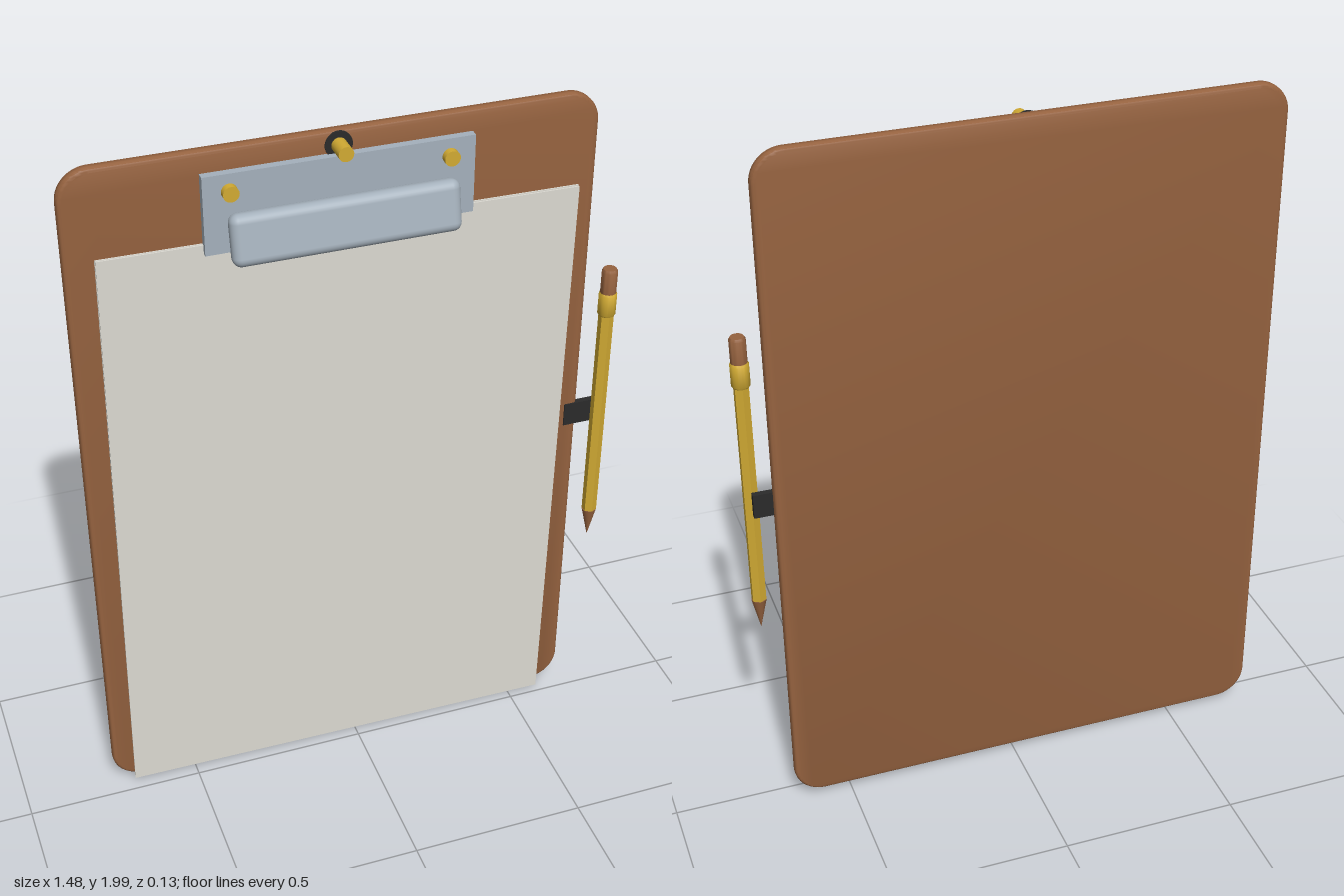
import * as THREE from 'three';
import { toCreasedNormals } from 'three/addons/utils/BufferGeometryUtils.js';
import { RoundedBoxGeometry } from 'three/addons/geometries/RoundedBoxGeometry.js';

const material = (name, color) => {
  const m = new THREE.MeshStandardMaterial({ color });
  m.name = name;
  return m;
};

// Rounded rectangle outline centred on the origin
function roundedRect(w, h, r) {
  const x = w / 2, y = h / 2, s = new THREE.Shape();
  s.absarc(x - r, y - r, r, 0, Math.PI / 2);
  s.absarc(r - x, y - r, r, Math.PI / 2, Math.PI);
  s.absarc(r - x, r - y, r, Math.PI, Math.PI * 1.5);
  s.absarc(x - r, r - y, r, Math.PI * 1.5, Math.PI * 2);
  s.closePath();
  return s;
}

export function createModel() {
  const wood = material('brown wood', 0x95623f);
  const paper = material('paper', 0xdcdad2);
  const steel = material('steel', 0xa5b1bc);
  const brass = material('brass yellow', 0xd2ab33);
  const black = material('black', 0x2b2b2b);

  const group = new THREE.Group();
  group.name = 'clipboard';
  const add = (name, geometry, mat, x, y, z, parent = group) => {
    const mesh = new THREE.Mesh(geometry, mat);
    mesh.name = name;
    mesh.position.set(x, y, z);
    parent.add(mesh);
    return mesh;
  };
  const cx = -0.04;

  // Board with softened edges
  const bevel = 0.011;
  const boardGeometry = new THREE.ExtrudeGeometry(roundedRect(1.405 - 2 * bevel, 1.97 - 2 * bevel, 0.075), {
    depth: 0.033 - 2 * bevel, bevelEnabled: true, bevelSize: bevel,
    bevelThickness: bevel, bevelSegments: 4, curveSegments: 10,
  });
  add('board', toCreasedNormals(boardGeometry, 0.6), wood, cx, 1.015, -0.067 + bevel);

  // Slightly askew sheets
  [[-0.034, 0.883, -0.032, -0.011], [-0.034, 0.881, -0.0275, -0.0125]].forEach(([x, y, z, turn]) => {
    add('paperSheet', new THREE.BoxGeometry(1.28, 1.733, 0.004), paper, x, y, z).rotation.z = turn;
  });

  // Clip: base plate, tilted jaw and rivets
  const clip = new THREE.Group();
  clip.name = 'clip';
  group.add(clip);
  add('clipPlate', new THREE.BoxGeometry(0.707, 0.214, 0.022), steel, cx, 1.835, -0.023, clip);
  const jaw = add('clipJaw', new RoundedBoxGeometry(0.6, 0.136, 0.052, 4, 0.024), steel, cx, 1.781, 0.028, clip);
  jaw.rotation.x = -0.2;
  for (const side of [-1, 1]) {
    const rivet = new THREE.CylinderGeometry(0.021, 0.021, 0.02, 20).rotateX(Math.PI / 2);
    add('rivet', rivet, brass, cx + side * 0.286, 1.895, -0.003, clip);
  }

  // Hanging peg in a dark eyelet
  add('eyelet', new THREE.CylinderGeometry(0.036, 0.036, 0.006, 28).rotateX(Math.PI / 2), black, cx, 1.963, -0.033);
  add('peg', new THREE.CylinderGeometry(0.02, 0.02, 0.058, 20).rotateX(Math.PI / 2), brass, cx, 1.963, -0.003);

  // Strap on the board's edge
  add('pencilStrap', new THREE.BoxGeometry(0.09, 0.07, 0.017), black, 0.67, 1.015, -0.0395);

  // Pencil
  const pencil = new THREE.Group();
  pencil.name = 'pencil';
  pencil.position.set(0.712, 0, 0.002);
  group.add(pencil);
  const shaft = new THREE.CylinderGeometry(0.021, 0.021, 0.66, 6);
  add('pencilShaft', toCreasedNormals(shaft, 0.5), brass, 0, 1.02, 0, pencil);
  add('pencilTip', new THREE.ConeGeometry(0.021, 0.095, 16).rotateX(Math.PI), wood, 0, 0.6425, 0, pencil);
  const lathe = (...points) => toCreasedNormals(
    new THREE.LatheGeometry(points.map(([r, y]) => new THREE.Vector2(r, y)), 20), 0.7);
  add('ferrule', lathe([0, 1.35], [0.022, 1.35], [0.025, 1.355], [0.025, 1.415], [0.022, 1.42], [0, 1.42]),
    brass, 0, 0, 0, pencil);
  add('eraser', lathe([0, 1.42], [0.022, 1.42], [0.022, 1.485], [0.018, 1.492], [0, 1.492]),
    wood, 0, 0, 0, pencil);

  return group;
}
